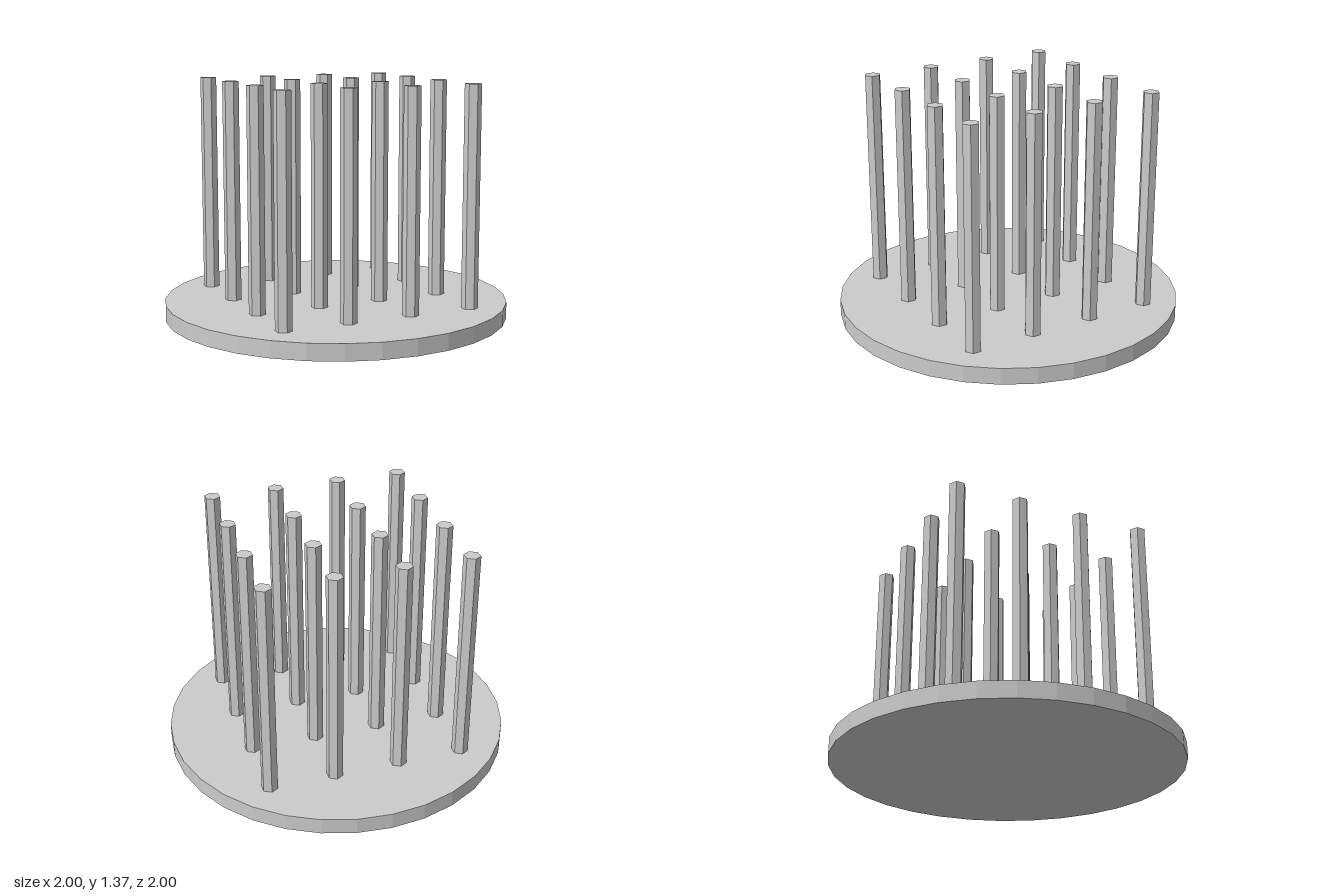
import * as THREE from 'three';

const BASE_HEIGHT = 0.095;
const TOP = 1.368;
const PEG_RADIUS = 0.0476;
const SPACING = 0.381;

export function createModel() {
  const model = new THREE.Group();
  model.name = 'pegStand';
  const material = new THREE.MeshStandardMaterial({ color: 0xcccccc, flatShading: true });

  // Round 32-sided base plate
  const base = new THREE.Mesh(new THREE.CylinderGeometry(1, 1, BASE_HEIGHT, 32), material);
  base.name = 'base';
  base.position.y = BASE_HEIGHT / 2;
  model.add(base);

  // Four by four grid of hexagonal pegs standing on the base
  const pegs = new THREE.Group();
  pegs.name = 'pegs';
  const pegHeight = TOP - BASE_HEIGHT;
  const pegGeometry = new THREE.CylinderGeometry(PEG_RADIUS, PEG_RADIUS, pegHeight, 6);
  for (let row = 0; row < 4; row++) {
    for (let column = 0; column < 4; column++) {
      const peg = new THREE.Mesh(pegGeometry, material);
      peg.name = `peg${row + 1}_${column + 1}`;
      peg.position.set((column - 1.5) * SPACING, BASE_HEIGHT + pegHeight / 2, (row - 1.5) * SPACING);
      pegs.add(peg);
    }
  }
  model.add(pegs);

  return model;
}
